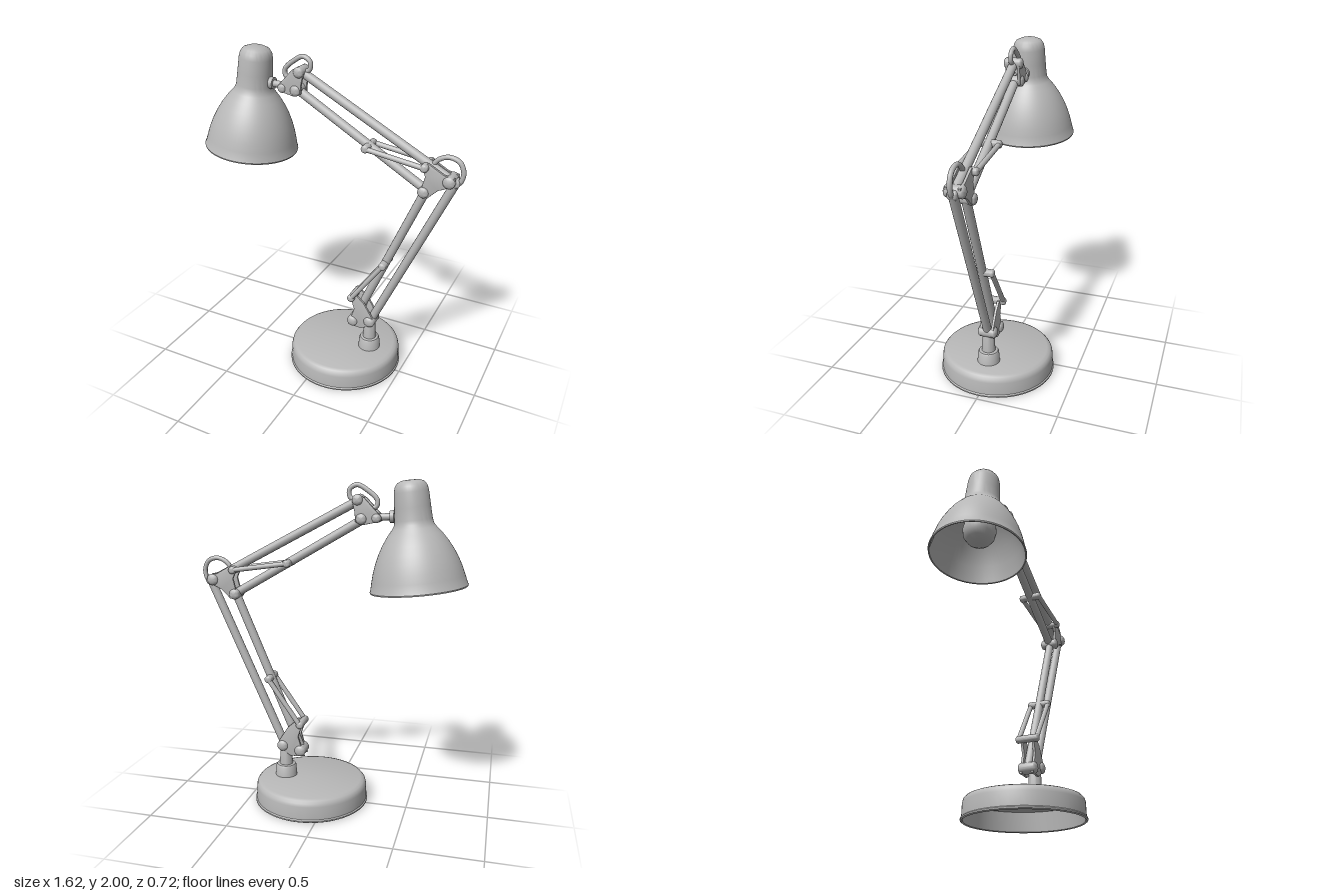
import * as THREE from 'three';
import { toCreasedNormals } from 'three/addons/utils/BufferGeometryUtils.js';

export function createModel() {
  const model = new THREE.Group();
  const grey = new THREE.MeshStandardMaterial({ color: 0xb8b8b8 });
  const V = (x, y, z = 0) => new THREE.Vector3(x, y, z);

  function add(name, geometry, parent = model) {
    const mesh = new THREE.Mesh(geometry, grey);
    mesh.name = name;
    parent.add(mesh);
    return mesh;
  }

  function lathe(points, segments = 48) {
    const pts = points.map(([r, y]) => new THREE.Vector2(r, y));
    return toCreasedNormals(new THREE.LatheGeometry(pts, segments), 0.6);
  }

  // Round bar between two points
  function rod(name, a, b, radius) {
    const dir = b.clone().sub(a);
    const geo = new THREE.CylinderGeometry(radius, radius, dir.length(), 16);
    const mesh = add(name, geo);
    mesh.position.copy(a).add(b).multiplyScalar(0.5);
    mesh.quaternion.setFromUnitVectors(V(0, 1), dir.normalize());
    return mesh;
  }

  // Pin along z with rounded heads
  function pin(name, x, y, r, half) {
    const e = r * 0.45;
    const mesh = add(name, lathe([
      [0, -half], [r * 0.5, -half + e * 0.12], [r * 0.85, -half + e * 0.5], [r, -half + e],
      [r, half - e], [r * 0.85, half - e * 0.5], [r * 0.5, half - e * 0.12], [0, half],
    ], 20));
    mesh.rotation.x = Math.PI / 2;
    mesh.position.set(x, y, 0);
  }

  // Pair of matching side plates, one on each side of the arms
  function bracket(name, outline) {
    const shape = new THREE.Shape(outline.map(([x, y]) => new THREE.Vector2(x, y)));
    const geo = toCreasedNormals(new THREE.ExtrudeGeometry(shape, {
      depth: 0.01, bevelThickness: 0.003, bevelSize: 0.004, bevelSegments: 2,
    }), 0.6);
    const pair = new THREE.Group();
    pair.name = name;
    for (const z of [-0.041, 0.031]) add(name + 'Plate', geo, pair).position.z = z;
    model.add(pair);
  }

  // Bent wire handle
  function loop(name, points) {
    const curve = new THREE.CatmullRomCurve3(points.map(([x, y]) => V(x, y)));
    add(name, new THREE.TubeGeometry(curve, 48, 0.014, 12));
  }

  // Two outer links joined by pins at their ends
  function links(name, a, b) {
    for (const z of [-0.058, 0.058]) rod(name, V(a[0], a[1], z), V(b[0], b[1], z), 0.015);
    for (const [x, y] of [a, b]) pin(name + 'Pin', x, y, 0.023, 0.075);
  }

  // Hollow base
  add('base', lathe([
    [0, 0.122], [0.335, 0.122], [0.345, 0.005], [0.352, 0], [0.36, 0.006], [0.36, 0.014],
    [0.353, 0.02], [0.351, 0.1], [0.346, 0.12], [0.334, 0.134], [0.315, 0.141], [0, 0.141],
  ], 72)).position.x = 0.115;

  // Socket and post
  add('post', lathe([
    [0, 0.13], [0.07, 0.13], [0.064, 0.205], [0.058, 0.215], [0.042, 0.218],
    [0.036, 0.34], [0.03, 0.36], [0, 0.365],
  ], 32)).position.x = 0.285;

  // Lower joint
  bracket('lowerBracket', [
    [0.155, 0.295], [0.24, 0.29], [0.325, 0.34], [0.315, 0.38], [0.255, 0.475],
    [0.21, 0.515], [0.165, 0.51], [0.195, 0.42], [0.175, 0.35],
  ]);
  pin('lowerBolt', 0.18, 0.325, 0.035, 0.06);
  pin('lowerBolt', 0.295, 0.35, 0.035, 0.06);

  // Lower arm pair and its links
  rod('lowerArm', V(0.297, 0.355), V(0.757, 1.39), 0.026);
  rod('lowerArm', V(0.18, 0.325), V(0.595, 1.315), 0.026);
  links('lowerLink', [0.375, 0.79], [0.175, 0.505]);

  // Elbow joint
  bracket('elbowBracket', [
    [0.575, 1.295], [0.615, 1.29], [0.67, 1.345], [0.755, 1.385], [0.76, 1.425],
    [0.7, 1.435], [0.61, 1.485], [0.575, 1.47], [0.6, 1.41], [0.585, 1.35],
  ]);
  pin('elbowBolt', 0.59, 1.315, 0.032, 0.06);
  pin('elbowBolt', 0.73, 1.4, 0.035, 0.06);
  pin('elbowBolt', 0.757, 1.39, 0.027, 0.03);
  loop('elbowHandle', [
    [0.61, 1.45], [0.65, 1.505], [0.71, 1.53], [0.77, 1.51], [0.795, 1.45], [0.775, 1.39], [0.74, 1.385],
  ]);

  // Upper arm pair and its links
  rod('upperArm', V(-0.175, 1.882), V(0.72, 1.408), 0.026);
  rod('upperArm', V(-0.2, 1.775), V(0.59, 1.318), 0.026);
  links('upperLink', [0.245, 1.515], [0.592, 1.465]);

  // Head joint
  bracket('headBracket', [
    [-0.305, 1.77], [-0.21, 1.75], [-0.17, 1.765], [-0.165, 1.82], [-0.15, 1.88],
    [-0.18, 1.915], [-0.215, 1.895], [-0.3, 1.805],
  ]);
  pin('headBolt', -0.177, 1.887, 0.031, 0.058);
  pin('headBolt', -0.2, 1.78, 0.031, 0.058);
  pin('headBolt', -0.287, 1.785, 0.026, 0.055);
  loop('headHandle', [
    [-0.23, 1.83], [-0.28, 1.85], [-0.285, 1.885], [-0.22, 1.945], [-0.165, 1.97],
    [-0.123, 1.945], [-0.127, 1.9], [-0.175, 1.88],
  ]);
  rod('shadeStem', V(-0.42, 1.795), V(-0.25, 1.79), 0.02);
  rod('shadeCollar', V(-0.385, 1.795), V(-0.36, 1.794), 0.035);

  // Tilted lamp head
  const head = new THREE.Group();
  head.name = 'lampHead';
  head.position.set(-0.535, 1.39, 0);
  head.rotation.z = -0.108;
  model.add(head);

  add('shade', lathe([
    [0, 0.37], [0.1, 0.36], [0.155, 0.3], [0.212, 0.2], [0.25, 0.1], [0.271, 0.01],
    [0.274, -0.002], [0.281, -0.004], [0.283, 0.004], [0.279, 0.012],
    [0.268, 0.06], [0.255, 0.11], [0.238, 0.16], [0.216, 0.21], [0.189, 0.26], [0.155, 0.31],
    [0.126, 0.345], [0.113, 0.365], [0.108, 0.39], [0.103, 0.46], [0.098, 0.545],
    [0.092, 0.575], [0.077, 0.597], [0.05, 0.609], [0, 0.612],
  ], 64), head);

  add('bulb', lathe([
    [0, 0.07], [0.04, 0.078], [0.071, 0.099], [0.092, 0.13], [0.1, 0.17], [0.094, 0.205],
    [0.077, 0.24], [0.055, 0.28], [0.045, 0.32], [0.045, 0.38],
  ], 32), head);

  return model;
}
